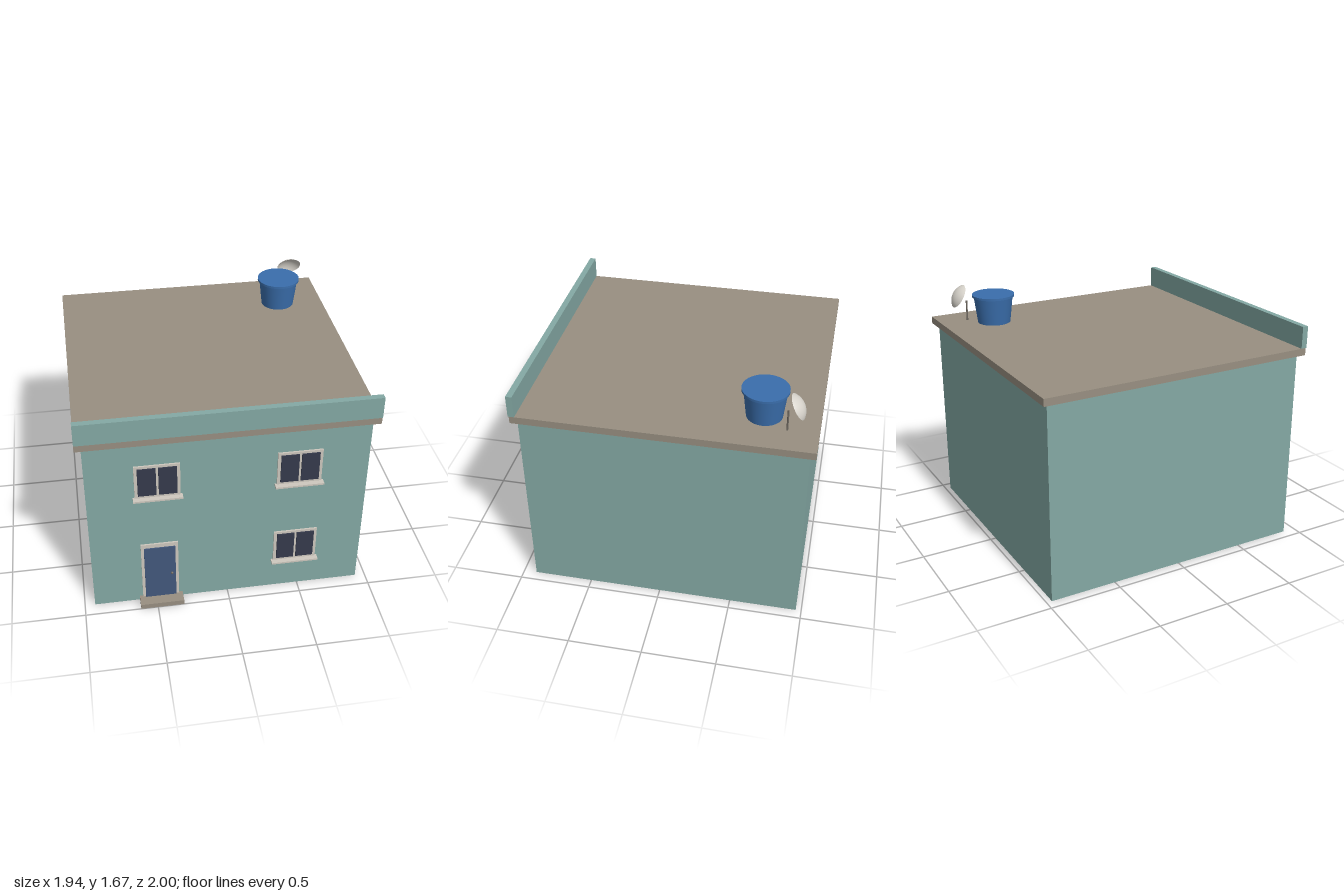
import * as THREE from 'three';

const mat = (name, color) => {
  const m = new THREE.MeshStandardMaterial({ color });
  m.name = name;
  return m;
};

export function createModel() {
  const house = new THREE.Group();
  house.name = 'house';

  const wall = mat('wall teal', 0x84a9a4);
  const concrete = mat('concrete', 0x988f81);
  const trim = mat('trim', 0xcec8be);
  const glass = mat('window glass', 0x353a4c);
  const doorBlue = mat('door blue', 0x42587c);
  const tankBlue = mat('tank blue', 0x3a6eac);
  const metal = mat('metal', 0x6e6860);
  const dishGrey = mat('dish', 0xd6d2ca);
  dishGrey.side = THREE.DoubleSide;

  const add = (parent, name, geometry, material, x = 0, y = 0, z = 0) => {
    const mesh = new THREE.Mesh(geometry, material);
    mesh.name = name;
    mesh.position.set(x, y, z);
    parent.add(mesh);
    return mesh;
  };
  // Box given by its extents along each axis
  const box = (parent, name, material, [x0, x1], [y0, y1], [z0, z1]) =>
    add(parent, name, new THREE.BoxGeometry(x1 - x0, y1 - y0, z1 - z0), material,
      (x0 + x1) / 2, (y0 + y1) / 2, (z0 + z1) / 2);
  const group = (name) => {
    const g = new THREE.Group();
    g.name = name;
    house.add(g);
    return g;
  };

  const front = 0.909;

  // Main volumes
  box(house, 'walls', wall, [-0.93, 0.93], [0, 1.36], [-0.962, front]);
  box(house, 'roofSlab', concrete, [-0.972, 0.972], [1.36, 1.41], [-1, 0.946]);
  box(house, 'parapet', wall, [-0.972, 0.972], [1.41, 1.562], [0.911, 0.953]);

  // Windows: backing frame, two panes and a sill
  const addWindow = (name, cx, y) => {
    const w = group(name);
    box(w, 'windowFrame', trim, [cx - 0.149, cx + 0.149], [y, y + 0.253], [front - 0.01, 0.92]);
    for (const s of [-1, 1]) {
      const a = cx + s * 0.008, b = cx + s * 0.128;
      box(w, 'windowPane', glass, [Math.min(a, b), Math.max(a, b)], [y + 0.02, y + 0.235], [0.92, 0.928]);
    }
    box(w, 'windowSill', trim, [cx - 0.162, cx + 0.162], [y - 0.013, y], [front - 0.01, 0.954]);
  };
  addWindow('upperRightWindow', -0.467, 0.925);
  addWindow('upperLeftWindow', 0.465, 0.925);
  addWindow('lowerLeftWindow', 0.465, 0.25);

  // Front door with knob and step
  const door = group('frontDoor');
  box(door, 'doorFrame', trim, [-0.595, -0.343], [0, 0.513], [front - 0.01, 0.92]);
  box(door, 'doorPanel', doorBlue, [-0.575, -0.363], [0.035, 0.482], [0.92, 0.928]);
  add(door, 'doorKnob', new THREE.SphereGeometry(0.009, 16, 12), metal, -0.39, 0.248, 0.935);
  box(door, 'doorStep', concrete, [-0.618, -0.318], [0, 0.036], [front - 0.01, 1]);

  // Water tank with a wider lid
  const tank = group('waterTank');
  tank.position.set(0.637, 1.41, -0.638);
  add(tank, 'tankBody', new THREE.CylinderGeometry(0.141, 0.118, 0.192, 40), tankBlue, 0, 0.096, 0);
  add(tank, 'tankLid', new THREE.CylinderGeometry(0.153, 0.153, 0.016, 40), tankBlue, 0, 0.199, 0);

  // Satellite dish: shallow spherical cap behind a thin mast
  const antenna = group('satelliteDish');
  add(antenna, 'dishMast', new THREE.CylinderGeometry(0.006, 0.006, 0.147, 12), metal, 0.766, 1.4825, -0.797);
  const rim = 0.0885, depth = 0.038, tilt = 1.03;
  const radius = (rim * rim + depth * depth) / (2 * depth);
  const cap = new THREE.SphereGeometry(radius, 32, 10, 0, Math.PI * 2, 0, Math.asin(rim / radius));
  cap.translate(0, depth - radius, 0);
  add(antenna, 'dishBowl', cap, dishGrey, 0.768, 1.596, -0.855).rotation.x = -tilt;
  // Rim plane sits at the local origin, so the bowl bulges up and back from it
  return house;
}
